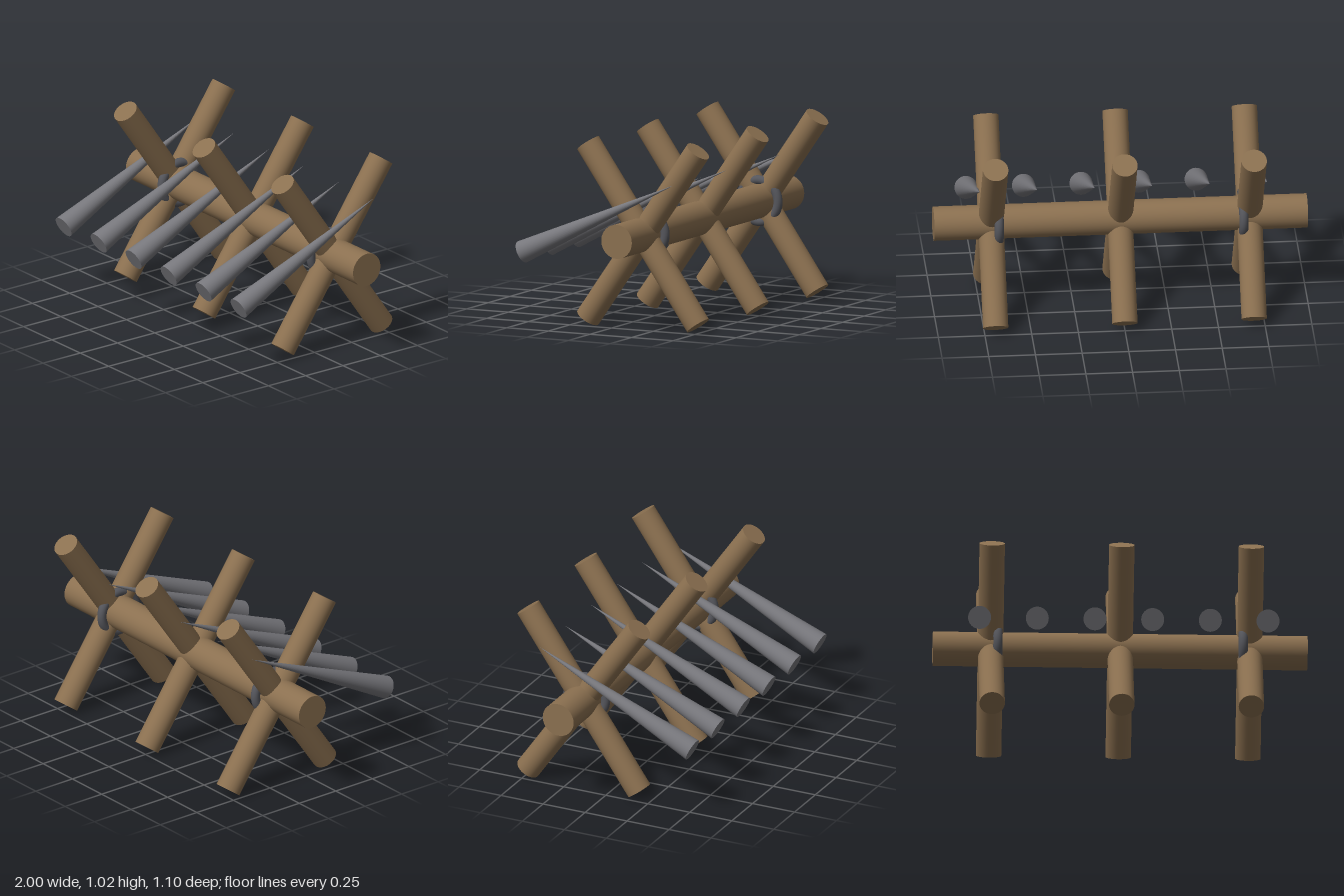
import * as THREE from 'three';

const wood = new THREE.MeshStandardMaterial({ color: 0x8b7050 });
const steel = new THREE.MeshStandardMaterial({ color: 0x77777c });
const iron = new THREE.MeshStandardMaterial({ color: 0x55565c });

const HUB_Y = 0.515, HUB_Z = -0.16;

export function createModel() {
  const group = new THREE.Group();

  function add(name, geometry, material, x, y, z) {
    const mesh = new THREE.Mesh(geometry, material);
    mesh.name = name;
    mesh.position.set(x, y, z);
    group.add(mesh);
    return mesh;
  }

  // Horizontal log carrying everything
  const beam = new THREE.CylinderGeometry(0.092, 0.092, 2, 32).rotateZ(Math.PI / 2);
  add('beam', beam, wood, 0, HUB_Y, HUB_Z);

  // Three pairs of crossed stakes
  const stake = new THREE.CylinderGeometry(0.068, 0.068, 1.15, 32);
  const lean = Math.atan2(0.66, 0.94);
  for (const x of [-0.692, 0, 0.692]) {
    add('forwardStake', stake, wood, x, HUB_Y, HUB_Z).rotation.x = lean;
    add('backwardStake', stake, wood, x, HUB_Y, HUB_Z).rotation.x = -lean;
  }

  // Binding rings around the log at the outer crossings
  const ring = new THREE.TorusGeometry(0.1125, 0.025, 16, 48).rotateY(Math.PI / 2);
  for (const side of [-1, 1]) add('bindingRing', ring, iron, side * 0.655, HUB_Y, HUB_Z);

  // Row of slanted spikes, each from its broad base to its tip
  const base = new THREE.Vector3(0, 0.383, 0.525);
  const tip = new THREE.Vector3(0, 0.805, -0.385);
  const axis = tip.clone().sub(base);
  const spike = new THREE.ConeGeometry(0.0615, axis.length(), 32);
  const middle = base.clone().add(tip).multiplyScalar(0.5);
  const turn = new THREE.Quaternion().setFromUnitVectors(
    new THREE.Vector3(0, 1, 0), axis.clone().normalize());
  for (let i = 0; i < 6; i++) {
    add('spike', spike, steel, (i - 2.5) * 0.308, middle.y, middle.z).quaternion.copy(turn);
  }

  return group;
}
